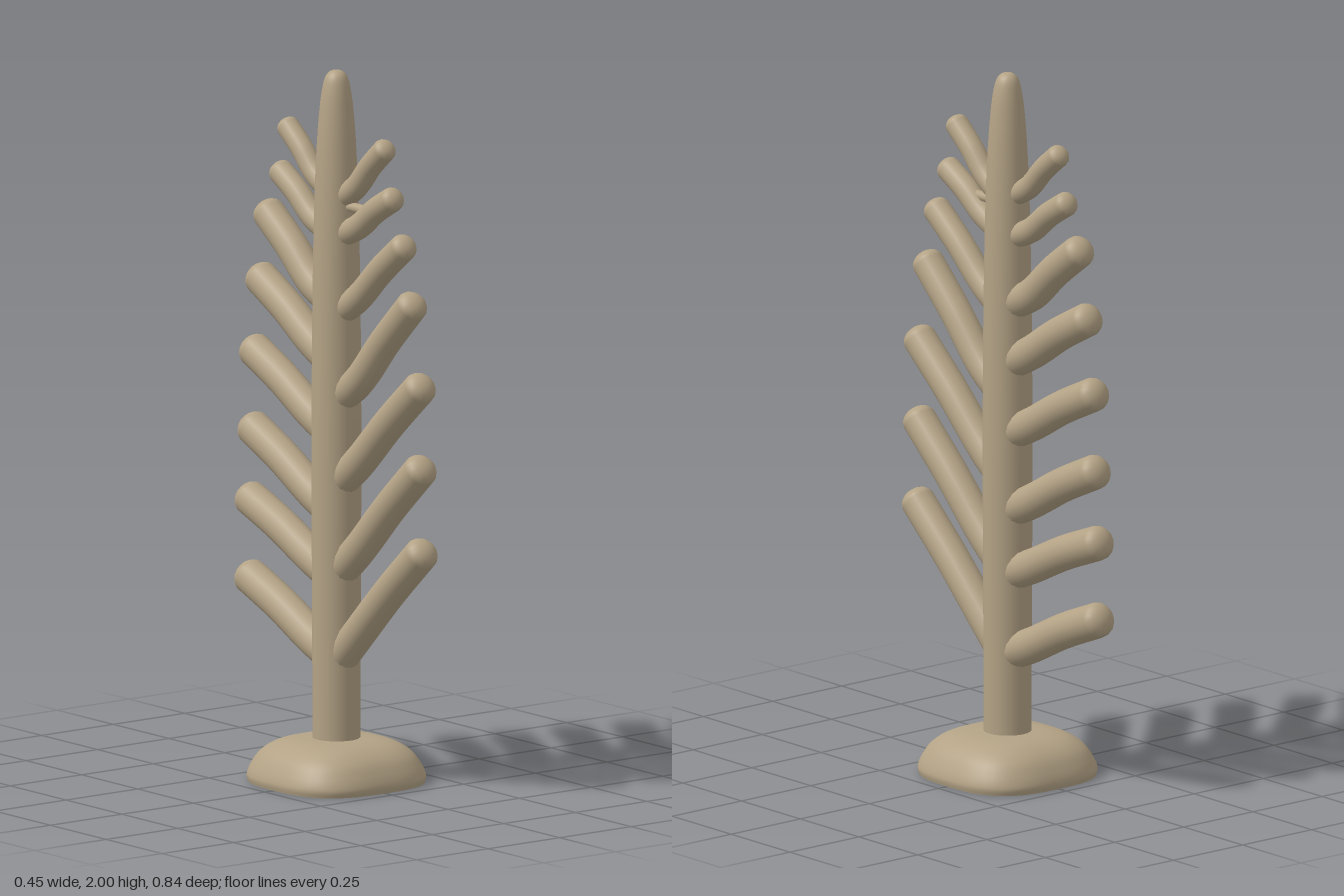
import * as THREE from 'three';

export function createModel() {
  const model = new THREE.Group();
  model.name = 'branchedStand';
  const tan = new THREE.MeshStandardMaterial({ color: 0xb3a285 });
  tan.name = 'warm tan';
  const dark = new THREE.MeshStandardMaterial({ color: 0x3c392b });
  dark.name = 'dark hollow';

  const add = (parent, name, geometry, material = tan) => {
    const mesh = new THREE.Mesh(geometry, material);
    mesh.name = name;
    parent.add(mesh);
    return mesh;
  };
  const lathe = (points, segments) => new THREE.LatheGeometry(
    new THREE.SplineCurve(points.map(([r, y]) => new THREE.Vector2(r, y))).getPoints(48), segments);

  // Tapered trunk with a rounded top
  add(model, 'trunk', lathe([
    [0.066, 0.1], [0.067, 0.4], [0.069, 0.9], [0.067, 1.3], [0.062, 1.6], [0.055, 1.78],
    [0.047, 1.89], [0.039, 1.95], [0.03, 1.982], [0.016, 1.997], [0, 2],
  ], 32));

  // Rounded lower end of the trunk inside the hollow base
  add(model, 'trunkStump', lathe([
    [0, 0], [0.035, 0.005], [0.056, 0.022], [0.065, 0.05], [0.066, 0.1],
  ], 32), dark);

  // Domed shell whose circular rings are squared off into rounded squares
  const squaredDome = (points) => {
    const geometry = lathe(points, 64);
    const pos = geometry.attributes.position;
    for (let i = 0; i < pos.count; i++) {
      const x = pos.getX(i), z = pos.getZ(i);
      const a = Math.atan2(z, x), n = 2.9;
      const k = (Math.abs(Math.cos(a)) ** n + Math.abs(Math.sin(a)) ** n) ** (-1 / n);
      pos.setX(i, x * k);
      pos.setZ(i, z * k);
    }
    geometry.computeVertexNormals();
    return geometry;
  };
  const profile = [
    [0.22, 0], [0.223, 0.02], [0.212, 0.05], [0.19, 0.083], [0.155, 0.108], [0.11, 0.121], [0.05, 0.125],
  ];
  add(model, 'base', squaredDome(profile));
  // Reversed profile faces inward, just under the outer skin
  add(model, 'baseHollow', squaredDome(profile.map(([r, y]) => [r - 0.003, y * 0.97]).reverse()), dark);

  // Upswept branch: root height, elbow, tip and radius, in the z-y plane
  const addBranch = (name, side, [rootY, elbowZ, elbowY, tipZ, tipY, r]) => {
    const branch = new THREE.Group();
    branch.name = name;
    const point = (z, y) => new THREE.Vector3(0, y, side * z);
    const curve = new THREE.CatmullRomCurve3([
      point(0, rootY), point(elbowZ, elbowY),
      point((elbowZ + tipZ) / 2, (elbowY + tipY) / 2 + 0.006), point(tipZ, tipY),
    ]);
    add(branch, 'limb', new THREE.TubeGeometry(curve, 20, r, 16));
    const cap = add(branch, 'roundedTip', new THREE.SphereGeometry(r, 16, 8, 0, Math.PI * 2, 0, Math.PI / 2));
    cap.position.copy(curve.getPoint(1));
    cap.quaternion.setFromUnitVectors(new THREE.Vector3(0, 1, 0), curve.getTangent(1));
    cap.scale.y = 0.75;
    model.add(branch);
  };

  const front = [
    [0.33, 0.09, 0.42, 0.38, 0.698, 0.048],
    [0.58, 0.10, 0.665, 0.375, 0.932, 0.048],
    [0.83, 0.10, 0.91, 0.373, 1.163, 0.047],
    [1.07, 0.10, 1.14, 0.337, 1.388, 0.045],
    [1.31, 0.10, 1.375, 0.30, 1.548, 0.039],
    [1.53, 0.10, 1.575, 0.25, 1.675, 0.035],
    [1.63, 0.09, 1.685, 0.215, 1.808, 0.033],
  ];
  const back = [
    [0.345, 0.10, 0.385, 0.383, 0.515, 0.05],
    [0.57, 0.10, 0.61, 0.383, 0.735, 0.049],
    [0.75, 0.10, 0.795, 0.37, 0.935, 0.049],
    [0.97, 0.10, 1.015, 0.364, 1.155, 0.048],
    [1.17, 0.10, 1.22, 0.336, 1.362, 0.048],
    [1.34, 0.10, 1.385, 0.302, 1.55, 0.046],
    [1.53, 0.10, 1.57, 0.248, 1.675, 0.035],
    [1.645, 0.09, 1.69, 0.216, 1.806, 0.032],
  ];
  front.forEach((b, i) => addBranch('frontBranch' + (i + 1), 1, b));
  back.forEach((b, i) => addBranch('backBranch' + (i + 1), -1, b));

  // Small spur bridging the sixth front branch to the trunk
  const spur = add(model, 'spur', new THREE.CapsuleGeometry(0.014, 0.11, 4, 10));
  spur.rotation.x = Math.PI / 2;
  spur.position.set(0, 1.625, 0.11);
  return model;
}
